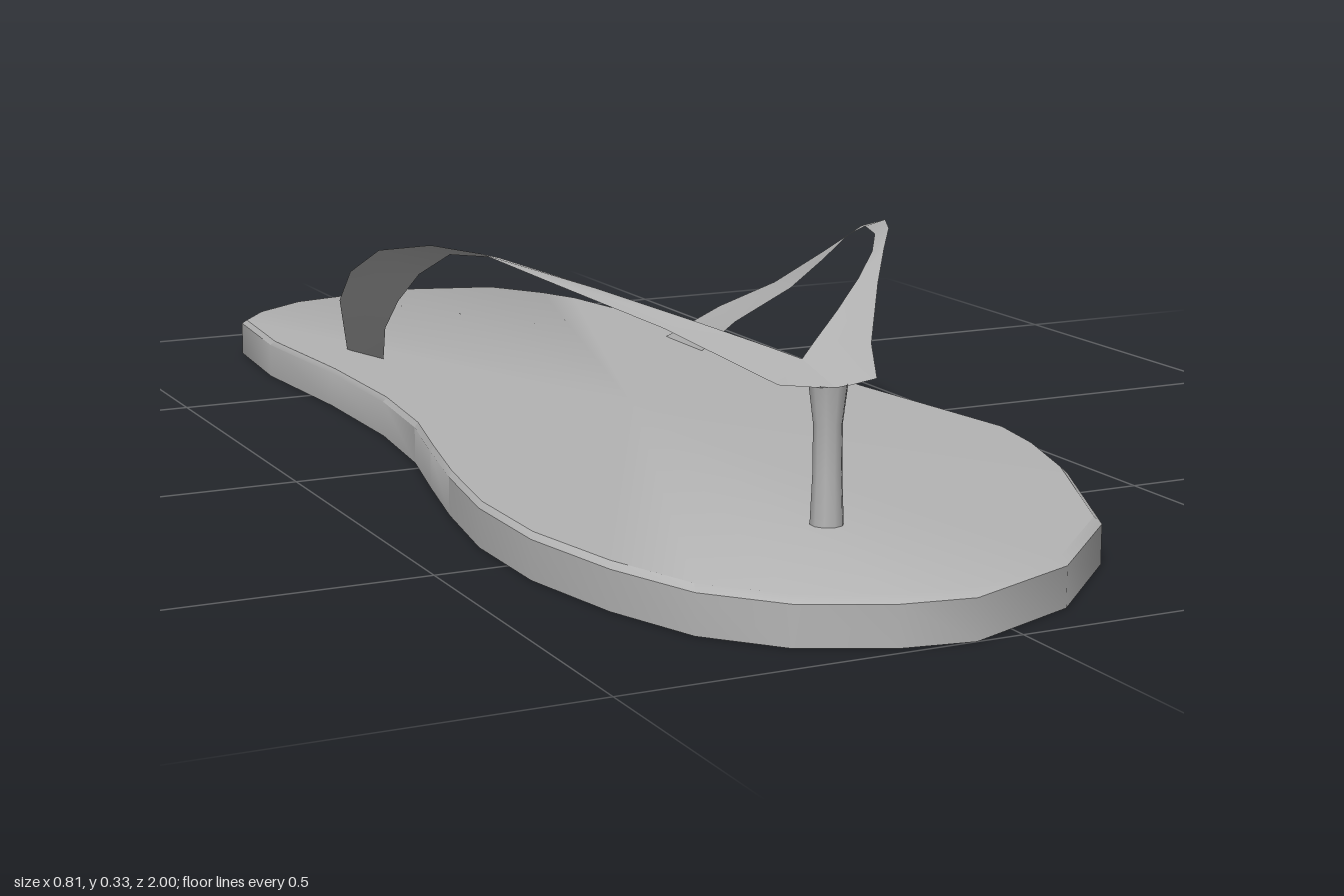
import * as THREE from 'three';
import { toCreasedNormals } from 'three/addons/utils/BufferGeometryUtils.js';

const grey = new THREE.MeshStandardMaterial({ color: 0xb4b4b4, side: THREE.DoubleSide });
grey.name = 'grey rubber';

// Sole outline as x, z pairs: toe, left side, heel, right side
const outline = [
  [-0.06, 1], [0.1, 0.935], [0.24, 0.8], [0.345, 0.57], [0.385, 0.44], [0.402, 0.34],
  [0.36, 0.03], [0.325, -0.34], [0.29, -0.69], [0.27, -0.8], [0.24, -0.87], [0.18, -0.96],
  [0.05, -1], [-0.03, -1], [-0.17, -0.97], [-0.255, -0.91], [-0.3, -0.85], [-0.315, -0.66],
  [-0.3, -0.42], [-0.3, -0.2], [-0.318, -0.03], [-0.35, 0.11], [-0.38, 0.25], [-0.405, 0.41],
  [-0.405, 0.57], [-0.375, 0.725], [-0.33, 0.85], [-0.255, 0.935], [-0.15, 0.985],
];

// Strap sections from toe to heel: outer edge x, y, z, then inner edge x, y, z
const toe = [-0.07, 0.225, 0.7, -0.07, 0.245, 0.615];
const rightArm = [
  toe,
  [-0.14, 0.233, 0.685, -0.1, 0.257, 0.58],
  [-0.215, 0.28, 0.535, -0.16, 0.28, 0.53],
  [-0.29, 0.315, 0.36, -0.24, 0.308, 0.4],
  [-0.325, 0.332, 0.23, -0.295, 0.323, 0.22],
  [-0.35, 0.328, 0.12, -0.315, 0.31, 0.1],
  [-0.362, 0.298, -0.04, -0.32, 0.268, 0],
  [-0.342, 0.24, -0.21, -0.305, 0.21, -0.12],
  [-0.295, 0.165, -0.39, -0.265, 0.14, -0.28],
  [-0.225, 0.05, -0.555, -0.2, 0.05, -0.465],
];
const leftArm = [
  toe,
  [-0.01, 0.23, 0.69, -0.03, 0.257, 0.575],
  [0.04, 0.25, 0.59, 0.03, 0.278, 0.52],
  [0.13, 0.295, 0.45, 0.11, 0.3, 0.435],
  [0.2, 0.318, 0.345, 0.185, 0.315, 0.34],
  [0.26, 0.328, 0.255, 0.25, 0.318, 0.235],
  [0.31, 0.323, 0.16, 0.29, 0.312, 0.14],
  [0.348, 0.293, 0.03, 0.315, 0.285, 0.05],
  [0.35, 0.24, -0.08, 0.325, 0.235, -0.04],
  [0.332, 0.175, -0.2, 0.315, 0.18, -0.12],
  [0.3, 0.12, -0.32, 0.285, 0.11, -0.24],
  [0.255, 0.05, -0.435, 0.255, 0.05, -0.305],
];

// A lathe whose rings are reshaped to the foot outline
function soleGeometry() {
  const profile = [[0, 0], [1, 0], [1, 0.05], [0.985, 0.057], [0, 0.057]];
  const n = outline.length;
  const geo = new THREE.LatheGeometry(profile.map(([r, y]) => new THREE.Vector2(r, y)), n);
  for (let i = 0; i <= n; i++) {
    const [x, z] = outline[i % n];
    profile.forEach(([r, y], j) => geo.attributes.position.setXYZ(i * profile.length + j, x * r, y, z * r));
  }
  return toCreasedNormals(geo, 0.6);
}

// A thin ribbon through the sections; flip keeps its top side outward
function ribbon(sections, flip) {
  const index = [];
  for (let i = 0; i < sections.length - 1; i++) {
    const a = i * 2, quad = [a, a + 1, a + 2, a + 1, a + 3, a + 2];
    index.push(...(flip ? quad.reverse() : quad));
  }
  const geo = new THREE.BufferGeometry();
  geo.setAttribute('position', new THREE.Float32BufferAttribute(sections.flat(), 3));
  geo.setIndex(index);
  geo.computeVertexNormals();
  return geo;
}

export function createModel() {
  const model = new THREE.Group();
  model.name = 'sandal';
  const add = (name, geometry) => {
    const mesh = new THREE.Mesh(geometry, grey);
    mesh.name = name;
    model.add(mesh);
    return mesh;
  };

  add('sole', soleGeometry());
  add('leftStrap', ribbon(leftArm, true));
  add('rightStrap', ribbon(rightArm, false));

  // Toe post, slightly waisted
  const post = [[0.021, 0.05], [0.018, 0.12], [0.018, 0.18], [0.024, 0.228]];
  add('toePost', new THREE.LatheGeometry(post.map(([r, y]) => new THREE.Vector2(r, y)), 10))
    .position.set(-0.07, 0, 0.68);

  return model;
}
